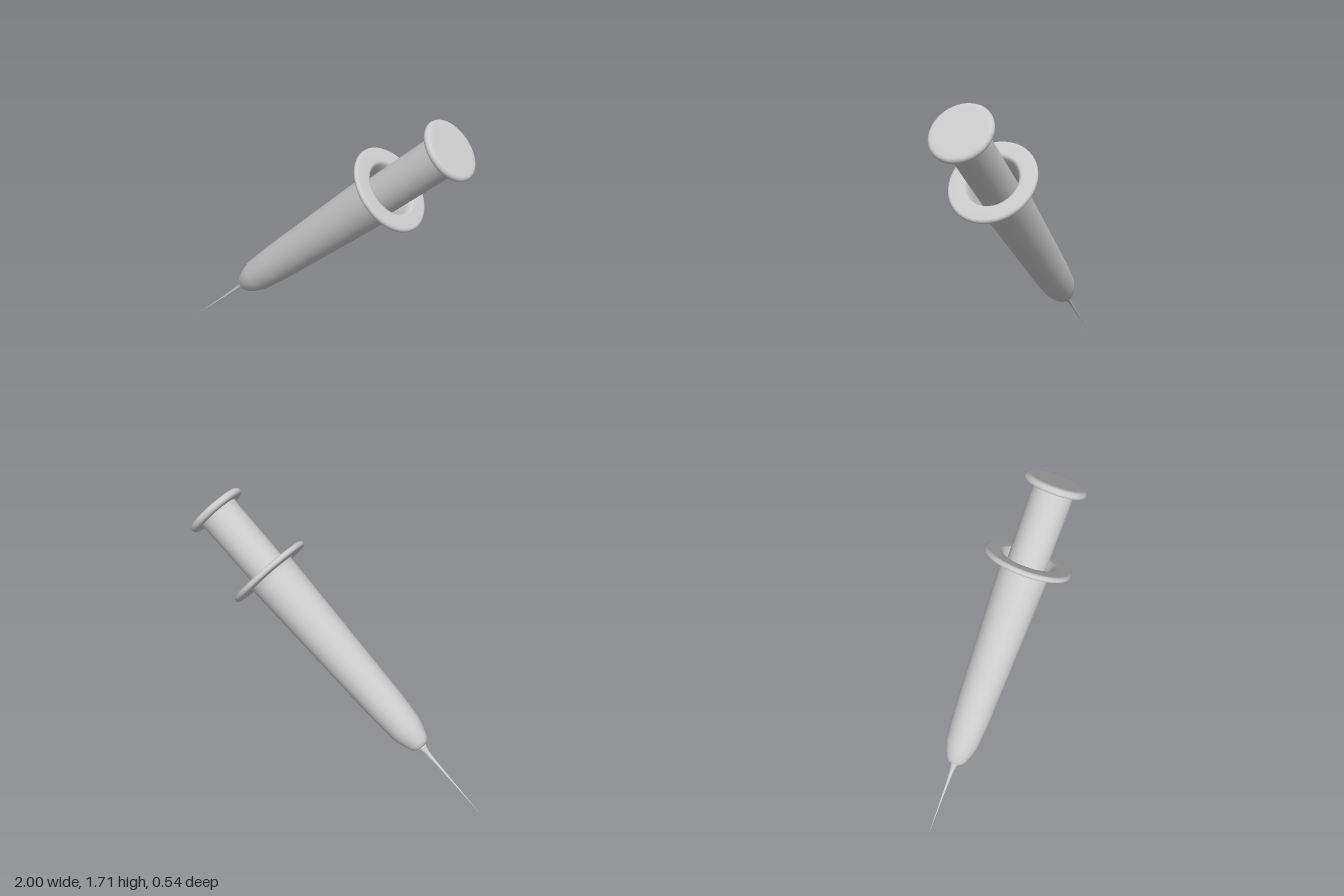
import * as THREE from 'three';

const material = new THREE.MeshStandardMaterial({ color: 0xcccccc });

// Turned part: profile is [radius, distance from needle tip], from bottom to top
function turned(name, profile) {
  const points = profile.map(([r, t]) => new THREE.Vector2(r, t));
  const mesh = new THREE.Mesh(new THREE.LatheGeometry(points, 48), material);
  mesh.name = name;
  return mesh;
}

// Rounded outer edge of a disc
function roundedEdge(radius, t, half) {
  const points = [];
  for (let i = 0; i <= 8; i++) {
    const a = -Math.PI / 2 + (i / 8) * Math.PI;
    points.push([radius - half + half * Math.cos(a), t + half * Math.sin(a)]);
  }
  return points;
}

export function createModel() {
  const group = new THREE.Group();
  group.name = 'syringe';
  const syringe = new THREE.Group();
  syringe.name = 'tiltedSyringe';

  // Needle flaring into the nose of the barrel
  syringe.add(turned('needle', [
    [0, 0], [0.003, 0.15], [0.006, 0.3], [0.01, 0.42],
    [0.014, 0.49], [0.022, 0.53], [0.036, 0.555], [0.036, 0.58],
  ]));

  // Hollow barrel with rounded nose, finger flange and open bore
  syringe.add(turned('barrel', [
    [0, 0.545], [0.035, 0.547], [0.053, 0.556], [0.067, 0.58], [0.086, 0.63],
    [0.104, 0.7], [0.117, 0.885], [0.135, 1.4], [0.151, 1.88], [0.154, 1.926],
    [0.165, 1.93], ...roundedEdge(0.271, 1.948, 0.018),
    [0.18, 1.966], [0.168, 1.963], [0.158, 1.95], [0.15, 1.92],
    [0.145, 1.86], [0.13, 1.4], [0, 1.4],
  ]));

  // Plunger rod running into the bore
  syringe.add(turned('plungerRod', [
    [0, 1.42], [0.119, 1.42], [0.12, 1.9], [0.124, 2.39], [0.13, 2.42],
  ]));

  // Thumb plate on top of the plunger
  syringe.add(turned('thumbPlate', [
    [0, 2.415], [0.12, 2.415], ...roundedEdge(0.191, 2.438, 0.023),
    [0.155, 2.462], [0.15, 2.462], [0, 2.462],
  ]));

  // Lean the whole syringe on its needle tip
  const axis = new THREE.Vector3(1.865, 1.555, 0.23).normalize();
  syringe.quaternion.setFromUnitVectors(new THREE.Vector3(0, 1, 0), axis);
  syringe.position.set(-1, 0, -0.19);
  group.add(syringe);
  return group;
}
